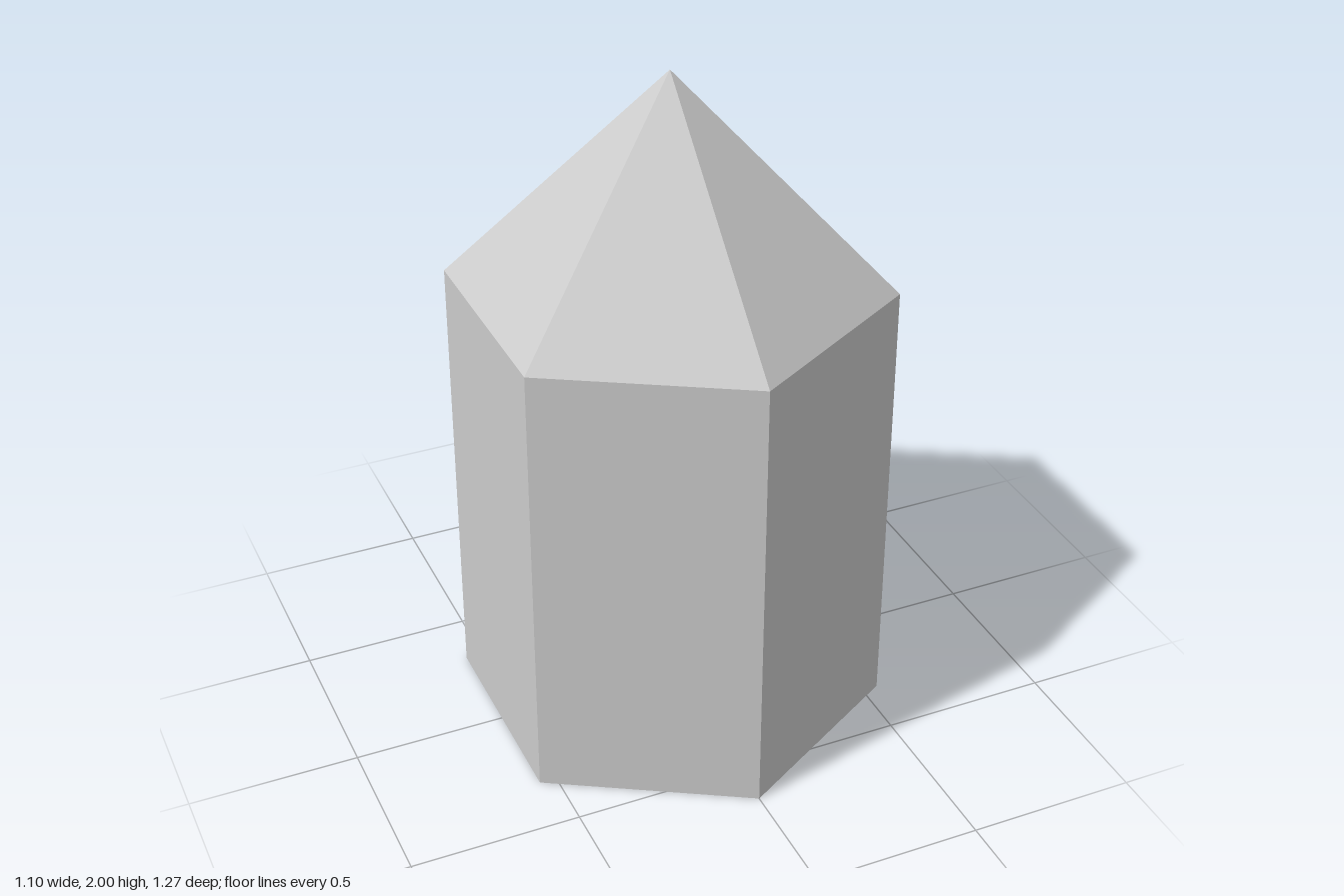
import * as THREE from 'three';

const SIDES = 6;
const RADIUS = 0.635;
const SHOULDER = 1.365; // height where the shaft meets the point
const TOP = 2;

export function createModel() {
  const group = new THREE.Group();
  group.name = 'crystal';
  const material = new THREE.MeshStandardMaterial({ color: 0xcccccc, flatShading: true });

  const add = (name, geometry, y) => {
    const mesh = new THREE.Mesh(geometry, material);
    mesh.name = name;
    mesh.position.y = y;
    group.add(mesh);
  };

  // Hexagonal shaft, with a corner facing the front
  add('shaft', new THREE.CylinderGeometry(RADIUS, RADIUS, SHOULDER, SIDES, 1, true), SHOULDER / 2);

  // Six-sided point
  add('point', new THREE.ConeGeometry(RADIUS, TOP - SHOULDER, SIDES, 1, true), (SHOULDER + TOP) / 2);

  // Flat underside, facing down
  add('base', new THREE.CircleGeometry(RADIUS, SIDES, Math.PI / 2).rotateX(Math.PI / 2), 0);

  return group;
}
